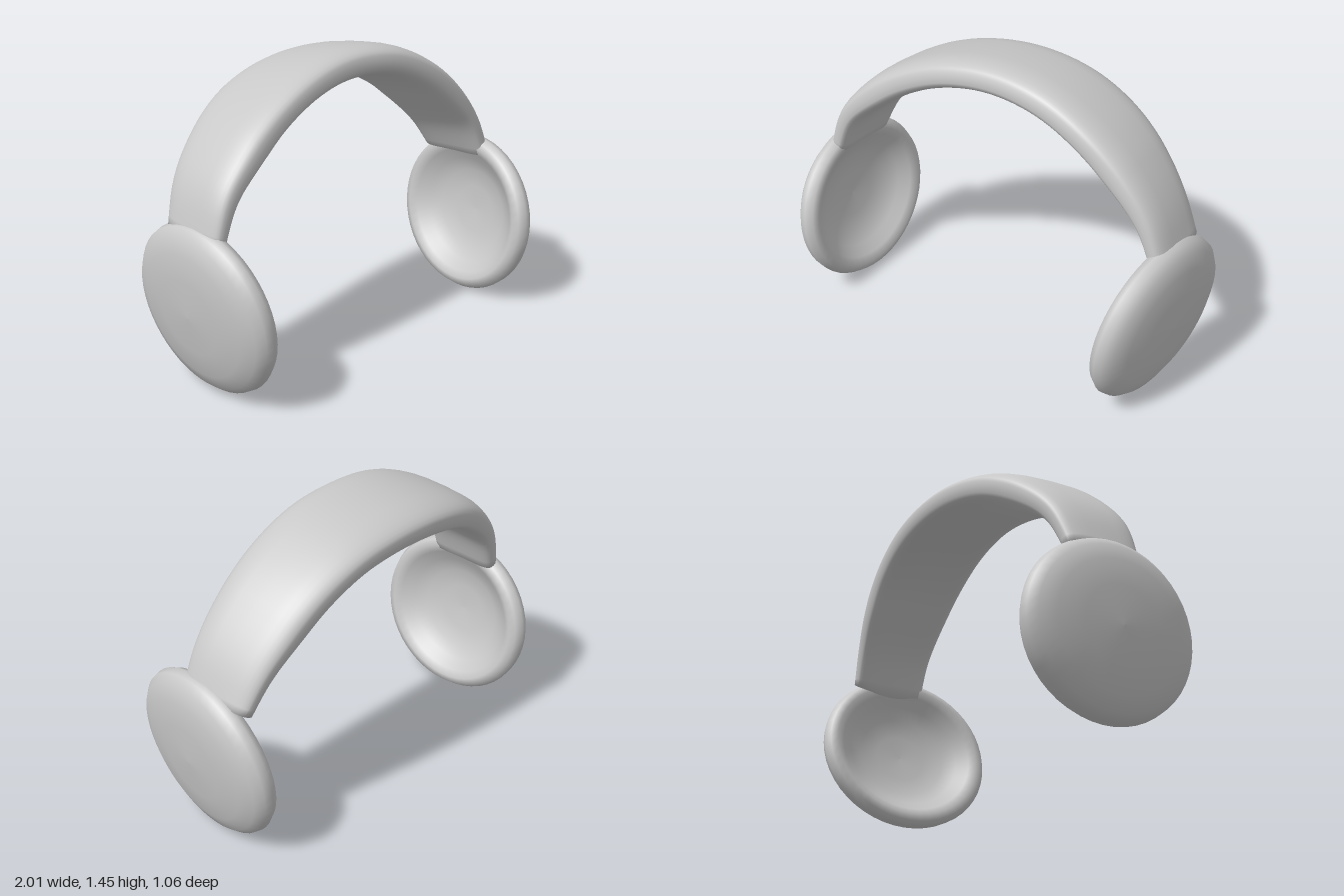
import * as THREE from 'three';

const grey = new THREE.MeshStandardMaterial({ color: 0xc8c8c8 });
grey.name = 'pale grey';

// Dished ear cup: a lathed bowl with a fat rounded rim, outer face towards +x
function cupGeometry() {
  const profile = [
    [0, 0.062], [0.12, 0.057], [0.21, 0.037], [0.275, 0.003], [0.325, -0.04], [0.36, -0.06], [0.393, -0.05],
    [0.412, -0.015], [0.404, 0.022], [0.37, 0.056], [0.3, 0.085], [0.18, 0.103], [0, 0.11],
  ].map(([r, h]) => new THREE.Vector2(r, h));
  const geo = new THREE.LatheGeometry(profile, 48);
  geo.rotateZ(-Math.PI / 2);
  geo.scale(1, 1, 1.08);
  geo.rotateZ(-0.125); // the bottom leans inwards
  return geo;
}

// Headband: rounded sections lofted between a front and a back edge curve
function bandGeometry() {
  const curve = (pts) => new THREE.CatmullRomCurve3(pts.map((p) => new THREE.Vector3(...p)));
  const front = curve([
    [-0.9, 0.72, 0.185], [-0.815, 0.95, 0.18], [-0.685, 1.095, 0.165], [-0.49, 1.24, 0.125], [-0.255, 1.342, 0.08],
    [0, 1.378, 0.035], [0.265, 1.345, 0.01], [0.5, 1.235, -0.01], [0.695, 1.075, -0.03], [0.822, 0.92, -0.045],
    [0.915, 0.71, -0.05],
  ]);
  const back = curve([
    [-0.915, 0.72, -0.07], [-0.825, 0.95, -0.13], [-0.69, 1.095, -0.195], [-0.485, 1.225, -0.275], [-0.25, 1.293, -0.335],
    [0, 1.31, -0.37], [0.245, 1.275, -0.385], [0.46, 1.178, -0.385], [0.64, 1.03, -0.37], [0.77, 0.885, -0.345],
    [0.88, 0.7, -0.32],
  ]);
  const rings = 60, sides = 32;
  const pos = [], index = [];
  const power = (v, e) => Math.sign(v) * Math.abs(v) ** e;
  for (let i = 0; i <= rings; i++) {
    const t = i / rings;
    const f = front.getPoint(t), b = back.getPoint(t);
    const mid = f.clone().add(b).multiplyScalar(0.5);
    const across = f.clone().sub(b);
    const half = across.length() / 2 + 0.055;
    across.normalize();
    const along = front.getTangent(t).add(back.getTangent(t)).normalize();
    const out = across.clone().cross(along).normalize();
    // the band thins where it enters the cups and closes inside them
    const end = Math.min(i, rings - i);
    const close = end === 0 ? 0 : 1;
    const thick = 0.045 + 0.033 * Math.min(1, end / 14);
    for (let j = 0; j < sides; j++) {
      const a = (j / sides) * Math.PI * 2;
      const u = power(Math.cos(a), 0.55);
      const v = power(Math.sin(a), 0.65) * thick + 0.012 * (1 - u * u);
      const p = mid.clone().addScaledVector(across, u * half * close).addScaledVector(out, v * close);
      pos.push(p.x, p.y, p.z);
      if (i < rings) {
        const k = (j + 1) % sides;
        const p0 = i * sides + j, p1 = i * sides + k;
        index.push(p0, p0 + sides, p1, p1, p0 + sides, p1 + sides);
      }
    }
  }
  const geo = new THREE.BufferGeometry();
  geo.setAttribute('position', new THREE.Float32BufferAttribute(pos, 3));
  geo.setIndex(index);
  geo.computeVertexNormals();
  return geo;
}

export function createModel() {
  const group = new THREE.Group();
  group.name = 'headphones';

  const band = new THREE.Mesh(bandGeometry(), grey);
  band.name = 'headband';
  group.add(band);

  // Ear cups, set slightly forward on one side and back on the other
  const cup = cupGeometry();
  const leftCup = new THREE.Mesh(cup, grey);
  leftCup.name = 'leftEarCup';
  leftCup.position.set(0.877, 0.408, -0.085);
  const rightCup = new THREE.Mesh(cup, grey);
  rightCup.name = 'rightEarCup';
  rightCup.position.set(-0.877, 0.415, 0.085);
  rightCup.rotation.y = Math.PI + 0.09;
  group.add(leftCup, rightCup);

  return group;
}
